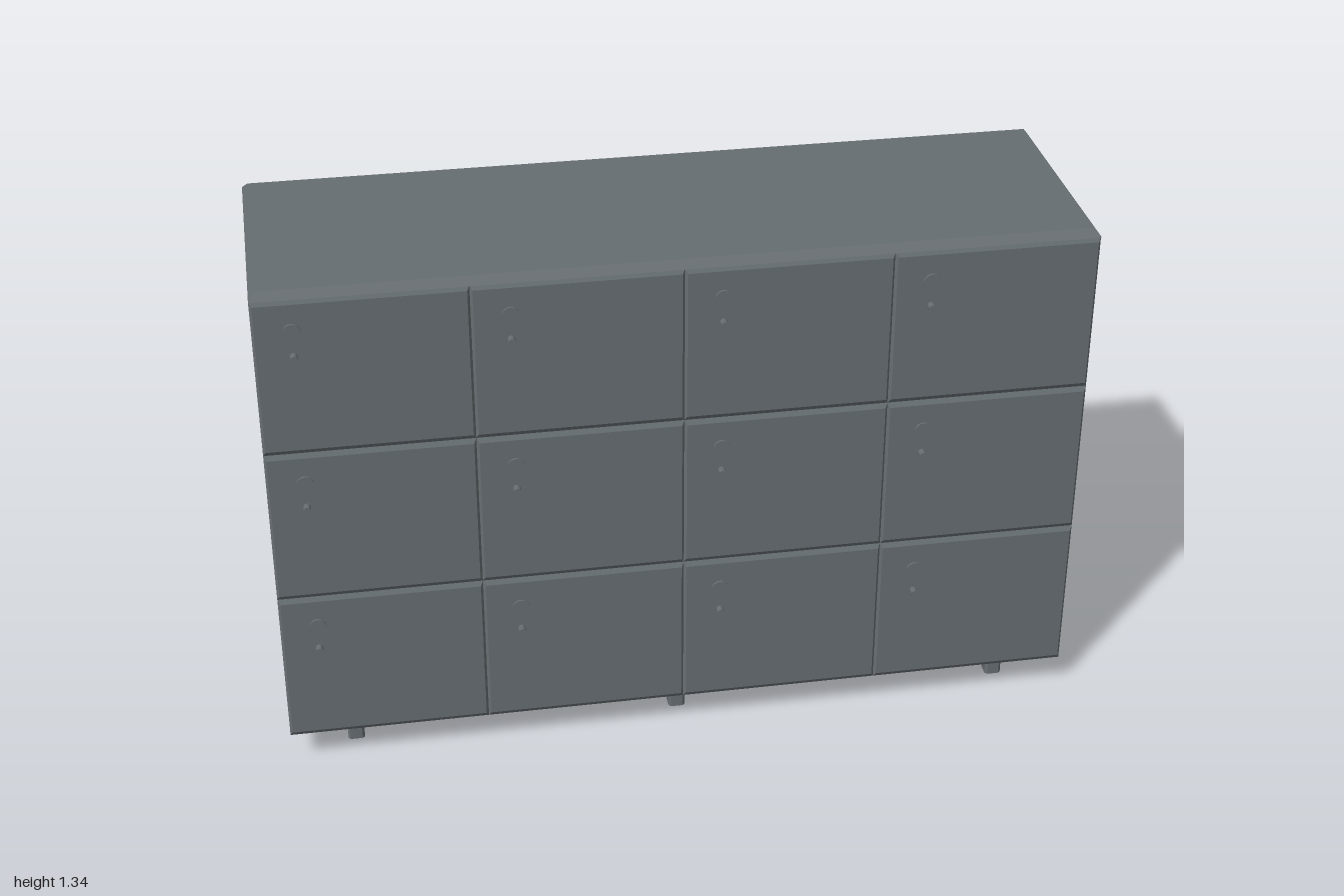
import * as THREE from 'three';

const paint = new THREE.MeshStandardMaterial({ color: 0x666d71 });
paint.name = 'slate grey paint';

function addPart(parent, name, geometry, x, y, z) {
  const mesh = new THREE.Mesh(geometry, paint);
  mesh.name = name;
  mesh.position.set(x, y, z);
  parent.add(mesh);
  return mesh;
}

// Box whose face on the +axis side is drawn in along the two other axes
function taperedBox(w, h, d, axis, inset) {
  const geometry = new THREE.BoxGeometry(w, h, d).toNonIndexed();
  const p = geometry.attributes.position;
  const v = new THREE.Vector3();
  for (let i = 0; i < p.count; i++) {
    v.fromBufferAttribute(p, i);
    if (v[axis] > 0) {
      for (const k in inset) v[k] -= Math.sign(v[k]) * inset[k];
    }
    p.setXYZ(i, v.x, v.y, v.z);
  }
  geometry.computeVertexNormals();
  return geometry;
}

// Upright square post with cut corners
function postGeometry(size, height, cut) {
  const a = size / 2, b = a - cut;
  const shape = new THREE.Shape([
    [a, -b], [a, b], [b, a], [-b, a], [-a, b], [-a, -b], [-b, -a], [b, -a],
  ].map(([x, y]) => new THREE.Vector2(x, y)));
  const geometry = new THREE.ExtrudeGeometry(shape, { depth: height, bevelEnabled: false });
  return geometry.rotateX(-Math.PI / 2);
}

export function createModel() {
  const model = new THREE.Group();
  model.name = 'lockerCabinet';

  const bottom = 0.09, lidBase = 1.317, top = 1.335;
  const back = -0.32, front = 0.3, doorDepth = 0.007;

  // Carcass and chamfered lid
  const depth = front - doorDepth - back;
  addPart(model, 'carcass', new THREE.BoxGeometry(2, lidBase - bottom, depth),
    0, (lidBase + bottom) / 2, back + depth / 2);
  addPart(model, 'lid', taperedBox(2, top - lidBase, front - back, 'y', { x: 0.014, z: 0.02 }),
    0, (top + lidBase) / 2, (front + back) / 2);

  // Bevelled doors, each with a round lock and a small pull knob
  const rows = [bottom, 0.502, 0.91, lidBase];
  const lockGeometry = new THREE.CylinderGeometry(0.021, 0.021, 0.014, 24).rotateX(Math.PI / 2);
  const knobGeometry = new THREE.CylinderGeometry(0.009, 0.009, 0.03, 16).rotateX(Math.PI / 2);
  for (let r = 0; r < 3; r++) {
    const height = rows[r + 1] - rows[r];
    const doorGeometry = taperedBox(0.5, height, doorDepth, 'z', { x: 0.006, y: 0.012 });
    for (let c = 0; c < 4; c++) {
      const door = new THREE.Group();
      door.name = `door${r + 1}_${c + 1}`;
      door.position.set(-0.75 + c * 0.5, rows[r] + height / 2, front);
      addPart(door, 'doorPanel', doorGeometry, 0, 0, -doorDepth / 2);
      addPart(door, 'lock', lockGeometry, -0.159, 0.122, -0.002);
      addPart(door, 'knob', knobGeometry, -0.159, 0.059, 0.005);
      model.add(door);
    }
  }

  // Six short feet
  const footGeometry = postGeometry(0.042, bottom, 0.006);
  for (const x of [-0.835, -0.003, 0.85]) {
    for (const z of [0.197, -0.208]) addPart(model, 'foot', footGeometry, x, 0, z);
  }
  return model;
}
